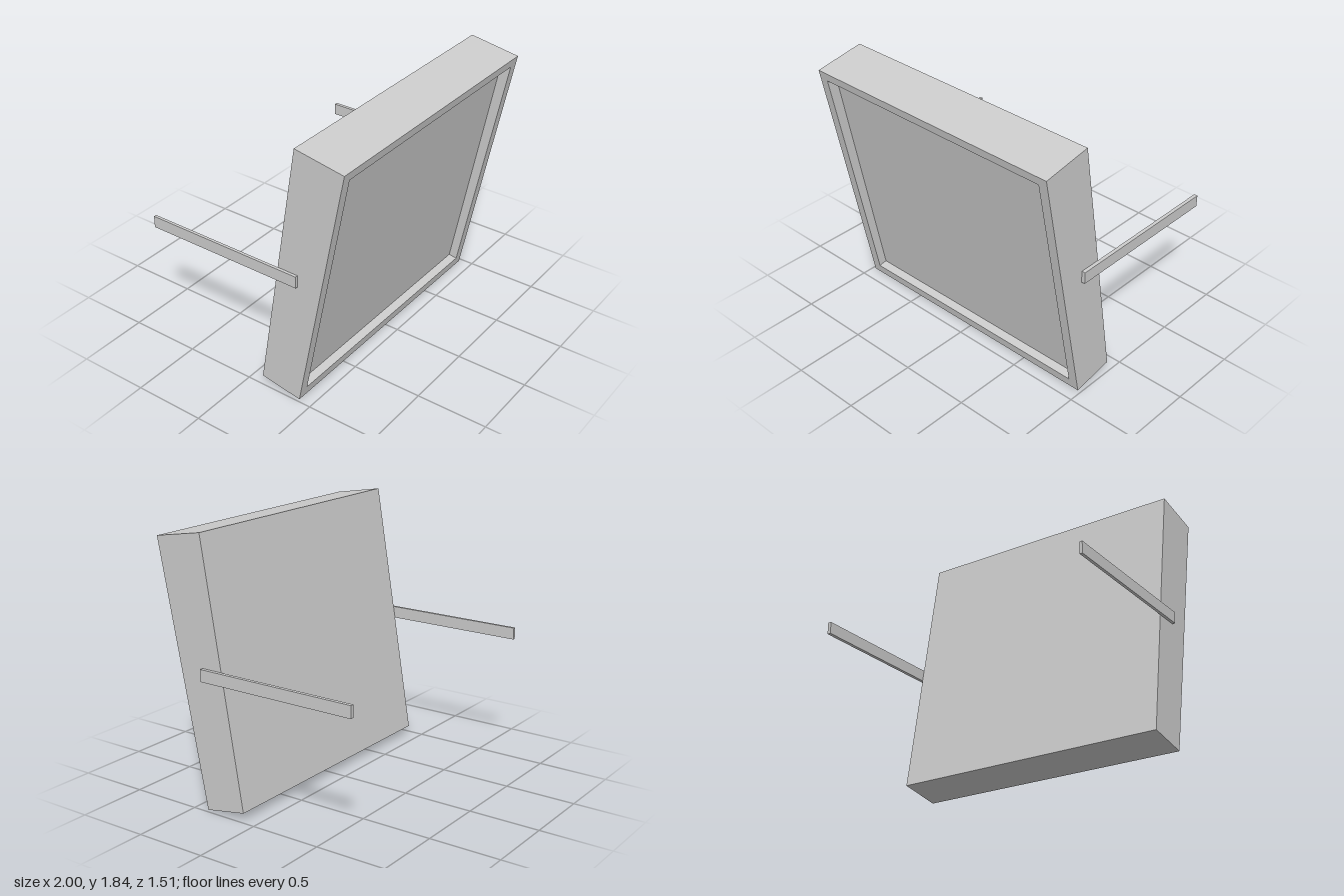
import * as THREE from 'three';

// Side profile corners of the tapered, tilted cabinet as [y, z]
const FRONT_BOTTOM = [0.0, 0.402], FRONT_TOP = [1.782, 0.755];
const BACK_BOTTOM = [0.052, 0.103], BACK_TOP = [1.842, 0.4];

// Maps height v and depth w (both 0..1, w = 0 at the front) into the tilted profile
function place(x, v, w) {
  const mix = (k) => THREE.MathUtils.lerp(
    THREE.MathUtils.lerp(FRONT_BOTTOM[k], FRONT_TOP[k], v),
    THREE.MathUtils.lerp(BACK_BOTTOM[k], BACK_TOP[k], v), w);
  return [x, mix(0), mix(1)];
}

// Four corners of a rectangular section, counter-clockwise seen from the front
function section(x0, x1, v0, v1, w) {
  return [place(x0, v0, w), place(x1, v0, w), place(x1, v1, w), place(x0, v1, w)];
}

// Stitches consecutive sections together and caps both ends
function stitch(sections) {
  const positions = [];
  const quad = (a, b, c, d) => positions.push(...a, ...b, ...c, ...a, ...c, ...d);
  const first = sections[0], last = sections[sections.length - 1];
  quad(first[3], first[2], first[1], first[0]);
  for (let s = 0; s < sections.length - 1; s++) {
    const a = sections[s], b = sections[s + 1];
    for (let i = 0; i < 4; i++) {
      const j = (i + 1) % 4;
      quad(a[i], a[j], b[j], b[i]);
    }
  }
  quad(...last);
  const geometry = new THREE.BufferGeometry();
  geometry.setAttribute('position', new THREE.Float32BufferAttribute(positions, 3));
  geometry.computeVertexNormals();
  return geometry;
}

export function createModel() {
  const model = new THREE.Group();
  model.name = 'tiltedPanelWithArms';

  const grey = new THREE.MeshStandardMaterial({ color: 0xcccccc });
  grey.name = 'light grey';

  // Cabinet: back, outer front edge, inner rim edge, recessed face
  const cabinet = new THREE.Mesh(stitch([
    section(-0.98, 0.975, 0, 1, 1),
    section(-0.98, 0.975, 0, 1, 0),
    section(-0.914, 0.907, 0.037, 0.967, 0),
    section(-0.914, 0.907, 0.037, 0.967, 0.2),
  ]), grey);
  cabinet.name = 'cabinet';
  model.add(cabinet);

  // Flat support arms running backwards along both sides
  for (const [name, x0, x1] of [['leftArm', 0.975, 1], ['rightArm', -1, -0.98]]) {
    const arm = new THREE.Mesh(new THREE.BoxGeometry(x1 - x0, 0.083, 1.162), grey);
    arm.position.set((x0 + x1) / 2, 0.928, -0.173);
    arm.name = name;
    model.add(arm);
  }
  return model;
}
